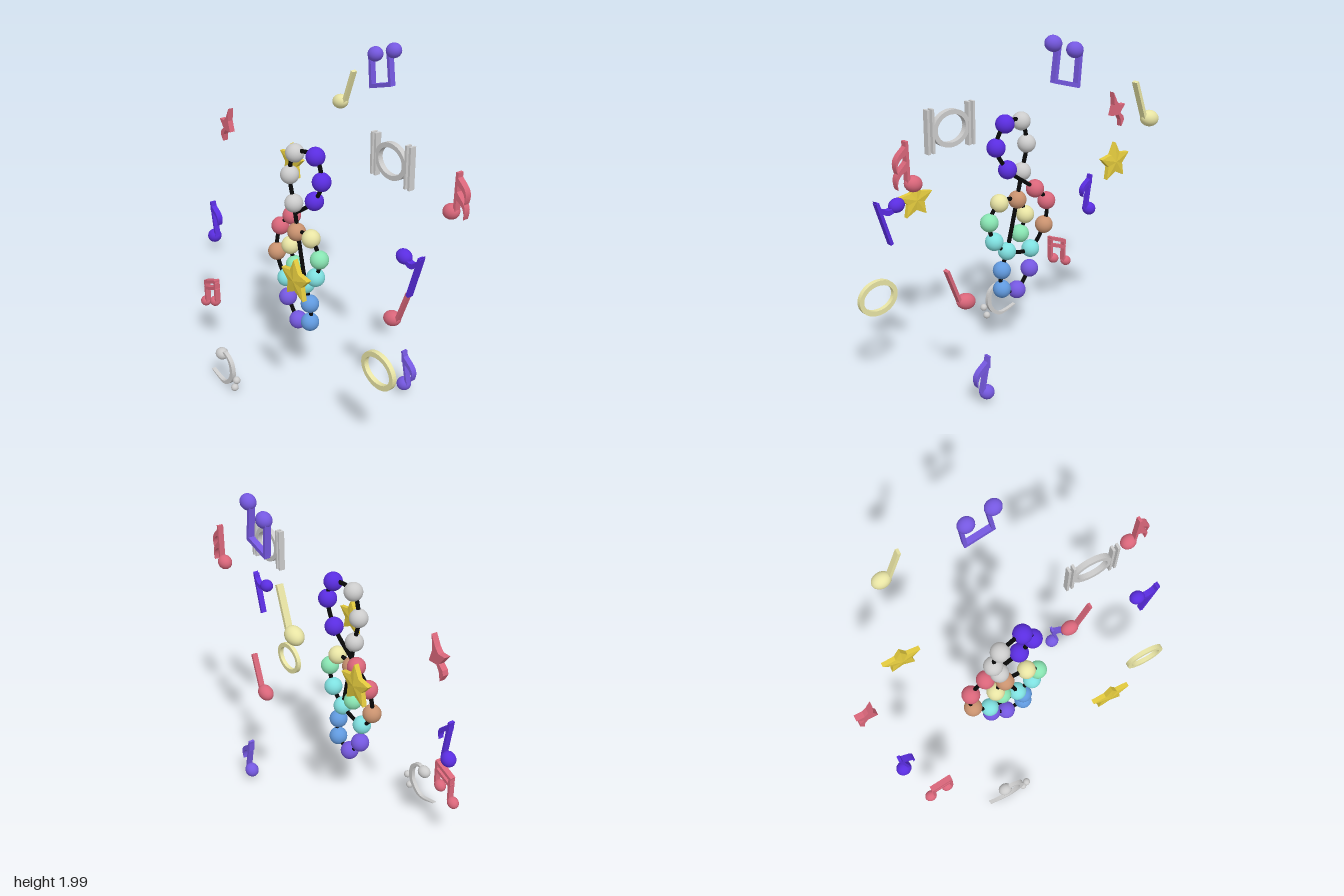
import * as THREE from 'three';

const C = { red: 0xd9667a, cream: 0xe8e4a4, gold: 0xe4cb3e, violet: 0x5a2de0, lilac: 0x7558e0, cyan: 0x7fe0e0,
  green: 0x88e4b2, brown: 0xc9926f, blue: 0x619adf, grey: 0xcccccc, black: 0x080808 };
const T = 0.034; // thickness of the flat parts

export function createModel() {
  const root = new THREE.Group();
  root.name = 'musicMobile';

  const mesh = (parent, name, geo, color, flat = false) => {
    const m = new THREE.Mesh(geo, new THREE.MeshStandardMaterial({ color, flatShading: flat }));
    m.name = name;
    parent.add(m);
    return m;
  };
  const group = (name, z) => {
    const g = new THREE.Group();
    g.name = name;
    g.position.z = z;
    root.add(g);
    return g;
  };
  // flat plate centred on its own z = 0
  const plate = (g, name, shape, color, depth = T) => {
    const geo = new THREE.ExtrudeGeometry(shape, { depth, bevelEnabled: false, curveSegments: 24 });
    return mesh(g, name, geo.translate(0, 0, -depth / 2), color);
  };
  // straight bar between two points
  const bar = (g, name, x1, y1, x2, y2, w, color) => {
    const m = mesh(g, name, new THREE.BoxGeometry(w, Math.hypot(x2 - x1, y2 - y1), T), color);
    m.position.set((x1 + x2) / 2, (y1 + y2) / 2, 0);
    m.rotation.z = -Math.atan2(x2 - x1, y2 - y1);
  };
  // tilted oval note head
  const head = (g, x, y, rx, ry, color, tilt = 0.35) => {
    const m = mesh(g, 'noteHead', new THREE.SphereGeometry(1, 24, 16), color);
    m.scale.set(rx, ry, ry);
    m.position.set(x, y, 0);
    m.rotation.z = tilt;
  };
  // curved flag hanging from (x, y) with its tip at (x + w, y - h)
  const flag = (g, x, y, w, h, color) => {
    const s = new THREE.Shape();
    s.moveTo(x, y);
    s.bezierCurveTo(x + w * 0.15, y - h * 0.35, x + w * 1.6, y - h * 0.35, x + w, y - h);
    s.bezierCurveTo(x + w * 1.15, y - h * 0.6, x + w * 0.6, y - h * 0.5, x + 0.004, y - h * 0.42);
    plate(g, 'flag', s, color);
  };
  const ring = (g, x, y, rx, ry, ix, iy, color, depth) => {
    const s = new THREE.Shape().absellipse(x, y, rx, ry, 0, Math.PI * 2);
    s.holes.push(new THREE.Path().absellipse(x, y, ix, iy, 0, Math.PI * 2, true));
    plate(g, 'ovalRing', s, color, depth);
  };

  // Beaded clef: x, y, z, colour, in the order the cord runs
  const beads = [
    [-0.195, 0.505, 0.115, C.lilac], [-0.095, 0.395, 0.115, C.lilac], [0.02, 0.435, 0.115, C.blue],
    [0.02, 0.555, 0.115, C.blue], [-0.02, 0.665, 0.115, C.cyan], [-0.13, 1.13, 0.11, C.grey],
    [-0.165, 1.29, 0.11, C.grey], [-0.12, 1.43, 0.105, C.grey], [0.025, 1.445, 0.075, C.violet],
    [0.085, 1.32, 0.08, C.violet], [0.01, 1.18, 0.072, C.violet], [-0.2, 1.02, 0.075, C.red],
    [-0.3, 0.92, 0.085, C.red], [-0.305, 0.76, 0.11, C.brown], [-0.205, 0.63, 0.118, C.cyan],
    [-0.02, 0.665, 0.115, C.cyan], [0.075, 0.75, 0.115, C.cyan], [0.11, 0.875, 0.115, C.green],
    [0.035, 0.975, 0.115, C.cream], [-0.1, 0.965, 0.115, C.brown], [-0.16, 0.86, 0.115, C.cream],
    [-0.12, 0.75, 0.115, C.green]];
  const clef = group('beadedClef', 0);
  beads.forEach(([x, y, z, color], i) => {
    if (i !== 15) mesh(clef, 'bead', new THREE.SphereGeometry(0.053, 28, 18), color).position.set(x, y, z);
  });
  const path = new THREE.CatmullRomCurve3(beads.map(([x, y, z]) => new THREE.Vector3(x, y, z)));
  mesh(clef, 'cord', new THREE.TubeGeometry(path, 260, 0.012, 8), C.black);

  // Quarter notes
  for (const [x, y, z, color] of [[-0.49, 1.505, -0.505, C.cream], [0.465, 0.59, -0.115, C.red]]) {
    const g = group('quarterNote', z);
    head(g, x, y, 0.057, 0.044, color, 0.25);
    bar(g, 'stem', x + 0.04, y, x + 0.123, y + 0.215, 0.018, color);
  }

  // Eighth notes: head, stem top, flag size
  for (const [x, y, z, tx, ty, w, h, color] of [
    [-0.81, 0.7, 0.23, -0.811, 0.93, 0.072, 0.135, C.violet],
    [0.44, 0.085, -0.25, 0.43, 0.305, 0.085, 0.165, C.lilac]]) {
    const g = group('eighthNote', z);
    head(g, x, y, 0.045, 0.041, color, 0.6);
    bar(g, 'stem', x + 0.034, y + 0.01, tx, ty, 0.016, color);
    flag(g, tx - 0.006, ty, w, h, color);
  }

  // Sixteenth note
  const sixteenth = group('sixteenthNote', -0.165);
  head(sixteenth, 0.805, 1.345, 0.047, 0.041, C.red);
  bar(sixteenth, 'stem', 0.838, 1.36, 0.843, 1.565, 0.016, C.red);
  flag(sixteenth, 0.838, 1.565, 0.062, 0.15, C.red);
  flag(sixteenth, 0.838, 1.49, 0.062, 0.155, C.red);

  // Upside-down beamed pair
  const pairA = group('invertedBeamedNotes', -0.385);
  head(pairA, -0.042, 1.91, 0.047, 0.041, C.lilac);
  head(pairA, 0.106, 1.96, 0.047, 0.041, C.lilac);
  bar(pairA, 'stem', -0.073, 1.9, -0.058, 1.72, 0.02, C.lilac);
  bar(pairA, 'stem', 0.075, 1.95, 0.098, 1.77, 0.02, C.lilac);
  bar(pairA, 'beam', -0.066, 1.726, 0.106, 1.776, 0.022, C.lilac);

  // Double-beamed pair
  const pairB = group('doubleBeamedNotes', 0.36);
  head(pairB, -0.738, 0.312, 0.037, 0.032, C.red, 0.5);
  head(pairB, -0.625, 0.362, 0.037, 0.032, C.red, 0.5);
  bar(pairB, 'stem', -0.713, 0.32, -0.713, 0.47, 0.016, C.red);
  bar(pairB, 'stem', -0.598, 0.37, -0.598, 0.52, 0.016, C.red);
  for (const dy of [0, -0.045]) bar(pairB, 'beam', -0.72, 0.46 + dy, -0.592, 0.512 + dy, 0.02, C.red);

  // Double whole note: oval between pairs of bars
  const breve = group('doubleWholeNote', -0.05);
  ring(breve, 0.49, 1.537, 0.114, 0.097, 0.088, 0.072, C.grey, 0.03);
  for (const x of [0.35, 0.378, 0.604, 0.633]) bar(breve, 'sideBar', x, 1.428, x, 1.655, 0.014, C.grey);

  // Whole note
  ring(group('wholeNote', 0.255), 0.78, 0.575, 0.12, 0.102, 0.094, 0.073, C.cream, 0.026);

  // Eighth rest
  const rest8 = group('eighthRest', 0.08);
  head(rest8, 0.745, 1.15, 0.045, 0.038, C.violet, -0.2);
  const hook = new THREE.Shape();
  hook.moveTo(0.76, 1.165);
  hook.quadraticCurveTo(0.81, 1.1, 0.875, 1.2);
  hook.lineTo(0.86, 1.155);
  hook.quadraticCurveTo(0.81, 1.08, 0.755, 1.135);
  plate(rest8, 'hook', hook, C.violet);
  bar(rest8, 'stem', 0.866, 1.19, 0.792, 0.95, 0.018, C.violet);

  // Quarter rest
  const zigzag = [[-0.815, 1.49], [-0.826, 1.41], [-0.807, 1.345], [-0.862, 1.345], [-0.885, 1.31], [-0.892, 1.267],
    [-0.914, 1.305], [-0.908, 1.33], [-0.88, 1.355], [-0.918, 1.405], [-0.872, 1.405], [-0.848, 1.43]];
  plate(group('quarterRest', 0.07), 'zigzag', new THREE.Shape(zigzag.map(p => new THREE.Vector2(...p))), C.red);

  // Bass clef: tapered sweep, ball and two dots
  const bass = group('bassClef', 0.515);
  const sweep = new THREE.SplineCurve([[-0.32, 0.205], [-0.27, 0.228], [-0.215, 0.19], [-0.204, 0.11], [-0.245, 0.045],
    [-0.31, 0.015], [-0.422, 0.042]].map(p => new THREE.Vector2(...p)));
  const outer = [], inner = [];
  for (let i = 0; i <= 40; i++) {
    const t = i / 40, p = sweep.getPoint(t), d = sweep.getTangent(t), w = 0.002 + 0.012 * Math.sin(Math.PI * t);
    outer.push(new THREE.Vector2(p.x - d.y * w, p.y + d.x * w));
    inner.unshift(new THREE.Vector2(p.x + d.y * w, p.y - d.x * w));
  }
  plate(bass, 'sweep', new THREE.Shape([...outer, ...inner]), C.grey, 0.024);
  head(bass, -0.313, 0.205, 0.042, 0.036, C.grey, 0.2);
  head(bass, -0.162, 0.098, 0.022, 0.022, C.grey);
  head(bass, -0.187, 0.034, 0.022, 0.022, C.grey);

  // Stars: flat rim with faceted faces rising to the centre
  for (const [x, y, z, tilt] of [[-0.565, 1.172, -0.195, -0.03], [0.37, 0.982, 0.46, 0.02]]) {
    const pos = [], rim = [];
    for (let i = 0; i < 10; i++) {
      const a = Math.PI / 2 + i * Math.PI / 5, r = i % 2 ? 0.059 : 0.116;
      rim.push([Math.cos(a) * r, Math.sin(a) * r]);
    }
    rim.forEach((p, i) => {
      const q = rim[(i + 1) % 10], h = 0.013;
      pos.push(...p, h, ...q, h, 0, 0, 0.022, ...q, -h, ...p, -h, 0, 0, -0.022);
      pos.push(...p, -h, ...q, -h, ...q, h, ...p, -h, ...q, h, ...p, h);
    });
    const geo = new THREE.BufferGeometry();
    geo.setAttribute('position', new THREE.Float32BufferAttribute(pos, 3));
    geo.computeVertexNormals();
    const star = mesh(root, 'star', geo, C.gold, true);
    star.position.set(x, y, z);
    star.rotation.z = tilt;
  }
  return root;
}
